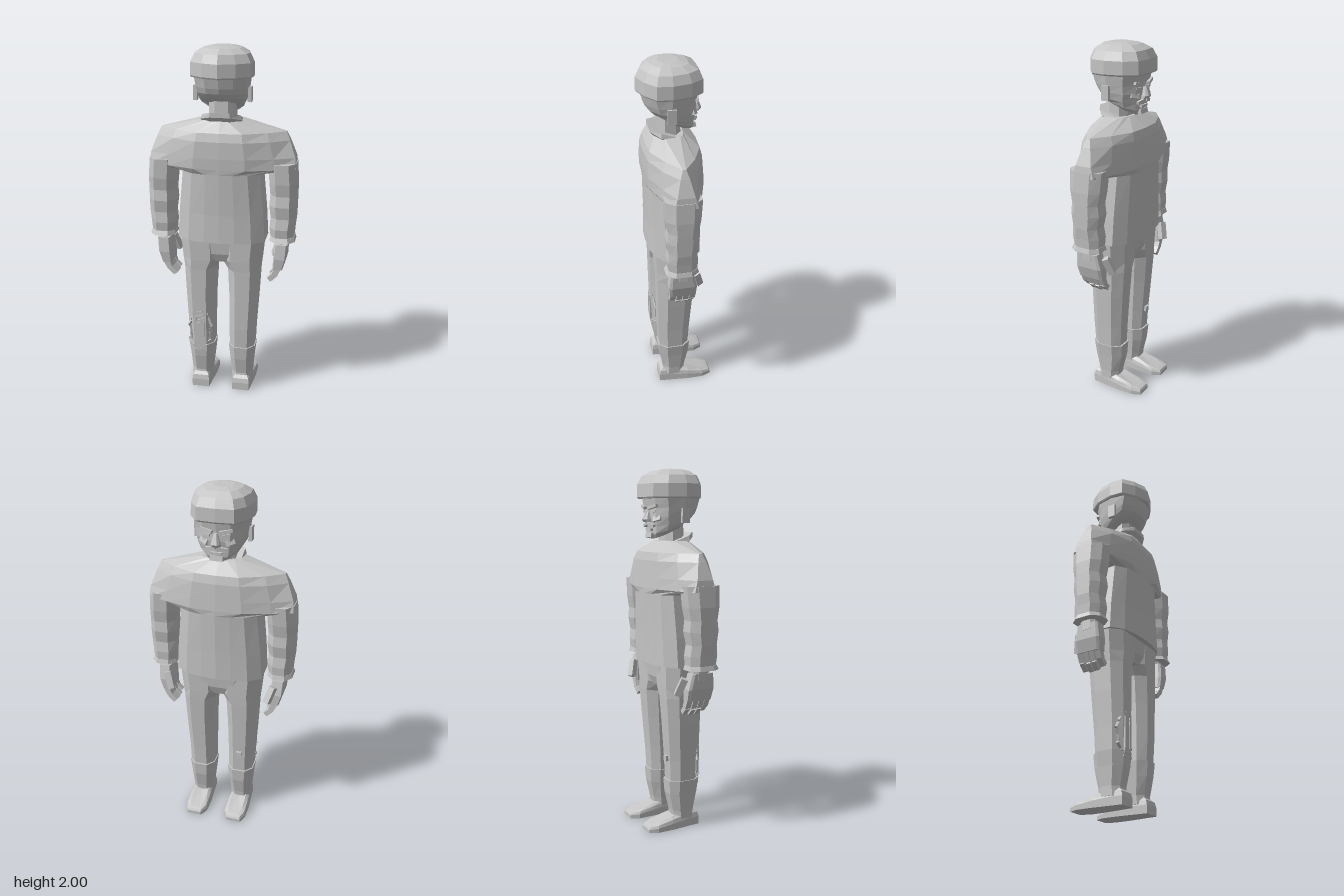
import * as THREE from 'three';

const grey = new THREE.MeshStandardMaterial({ color: 0xc6c6c6 });
grey.name = 'plain grey';

// Faceted skin through rings of [x, y, z] points, closed at both ends
function loft(rings) {
  const pos = [];
  const tri = (a, b, c) => pos.push(...a, ...b, ...c);
  const mid = (r) => [0, 1, 2].map((k) => r.reduce((t, p) => t + p[k], 0) / r.length);
  const n = rings[0].length;
  const low = rings[0], high = rings[rings.length - 1], cl = mid(low), ch = mid(high);
  for (let i = 0; i < n; i++) {
    const j = (i + 1) % n;
    for (let r = 0; r < rings.length - 1; r++) {
      const A = rings[r], B = rings[r + 1];
      tri(A[i], B[i], A[j]);
      tri(A[j], B[i], B[j]);
    }
    tri(cl, low[i], low[j]);
    tri(ch, high[j], high[i]);
  }
  const g = new THREE.BufferGeometry();
  g.setAttribute('position', new THREE.Float32BufferAttribute(pos, 3));
  g.computeVertexNormals();
  return g;
}

// Horizontal ring with chamfered corners between x0..x1 and z0..z1
function octagon(y, x0, x1, z0, z1, c = 0.5, tilt = 0) {
  const cx = (x0 + x1) / 2, cz = (z0 + z1) / 2, w = (x1 - x0) / 2, d = (z1 - z0) / 2;
  return [[1, -c], [1, c], [c, 1], [-c, 1], [-1, c], [-1, -c], [-c, -1], [c, -1]]
    .map(([u, v]) => [cx + u * w, y + tilt * v * d, cz + v * d]);
}

// Symmetric ring from half an outline running front to back
function symmetric(y, half) {
  const right = half.map(([x, z]) => [x, y, z]);
  const left = half.filter(([x]) => x > 0).map(([x, z]) => [-x, y, z]).reverse();
  return [...right, ...left];
}

function box(x, y, z, w, h, d, rx = 0, ry = 0, rz = 0) {
  const g = new THREE.BoxGeometry(w, h, d).toNonIndexed();
  return g.rotateX(rx).rotateY(ry).rotateZ(rz).translate(x, y, z);
}

// Mirror across x and restore the corner order
function mirror(g) {
  const m = g.clone().scale(-1, 1, 1), p = m.attributes.position;
  for (let i = 0; i < p.count; i += 3) {
    const a = [p.getX(i + 1), p.getY(i + 1), p.getZ(i + 1)];
    p.setXYZ(i + 1, p.getX(i + 2), p.getY(i + 2), p.getZ(i + 2));
    p.setXYZ(i + 2, ...a);
  }
  m.computeVertexNormals();
  return m;
}

export function createModel() {
  const model = new THREE.Group();
  model.name = 'standingMan';
  const add = (name, g) => {
    const mesh = new THREE.Mesh(g, grey);
    mesh.name = name;
    model.add(mesh);
  };
  const pair = (name, g) => {
    add(name + 'Left', g);
    add(name + 'Right', mirror(g));
  };

  // Sweater body: flat sides below the armpits, pointed lens across the shoulders
  const torso = (y, w, zf, zb, side, q, m = 0.012) => symmetric(y, [
    [0, zf], [0.35 * w, m + (zf - m) * 0.95], [0.72 * w, m + (zf - m) * q],
    [w, m + (zf - m) * side], [w, m + (zb - m) * side],
    [0.72 * w, m + (zb - m) * q], [0.35 * w, m + (zb - m) * 0.97], [0, zb]]);
  add('sweater', loft([
    torso(0.94, 0.245, -0.138, 0.16, 0.5, 0.85),
    torso(1.1, 0.235, -0.14, 0.157, 0.52, 0.85),
    torso(1.33, 0.212, -0.147, 0.162, 0.55, 0.85),
    torso(1.36, 0.405, -0.147, 0.164, 0.4, 0.66),
    torso(1.42, 0.398, -0.143, 0.166, 0.3, 0.64),
    torso(1.51, 0.365, -0.137, 0.163, 0.16, 0.62),
    torso(1.555, 0.345, -0.125, 0.15, 0.06, 0.55),
    torso(1.615, 0.11, -0.05, 0.11, 0.5, 0.8),
  ]));

  // Sleeves with soft folds, and cuffs
  pair('sleeve', loft([
    octagon(0.95, 0.275, 0.4, -0.055, 0.095), octagon(1.02, 0.268, 0.405, -0.06, 0.105),
    octagon(1.08, 0.272, 0.412, -0.052, 0.097), octagon(1.15, 0.264, 0.413, -0.065, 0.108),
    octagon(1.21, 0.268, 0.414, -0.06, 0.1), octagon(1.28, 0.262, 0.414, -0.072, 0.112),
    octagon(1.39, 0.255, 0.405, -0.08, 0.115),
  ]));
  pair('cuff', loft([octagon(0.945, 0.268, 0.41, -0.065, 0.112), octagon(0.97, 0.275, 0.403, -0.058, 0.1)]));

  // Hands
  pair('wrist', loft([octagon(0.89, 0.3, 0.37, -0.03, 0.065), octagon(0.95, 0.3, 0.37, -0.03, 0.065)]));
  pair('palm', loft([
    octagon(0.775, 0.29, 0.345, -0.058, 0.085, 0.8), octagon(0.84, 0.293, 0.365, -0.06, 0.092, 0.8),
    octagon(0.925, 0.3, 0.37, -0.04, 0.085, 0.8)]));
  for (let i = 0; i < 4; i++) {
    const z = -0.042 + i * 0.036, drop = [0, 0.008, 0.006, -0.008][i];
    pair('fingerBase' + i, box(0.315, 0.765 - drop / 2, z, 0.032, 0.06, 0.032, 0, 0, -0.45));
    pair('fingertip' + i, box(0.288, 0.72 - drop, z, 0.028, 0.05, 0.028, 0, 0, -0.8));
  }
  pair('thumb', box(0.298, 0.85, -0.075, 0.036, 0.1, 0.036, 0.3, 0.4, -0.2));

  // Trousers
  add('trouserSeat', loft([
    octagon(0.81, -0.05, 0.05, -0.075, 0.1), octagon(0.86, -0.16, 0.16, -0.095, 0.12),
    octagon(0.96, -0.235, 0.235, -0.105, 0.13)]));
  pair('trouserLeg', loft([
    octagon(0.27, 0.047, 0.19, -0.058, 0.11), octagon(0.4, 0.047, 0.195, -0.065, 0.117),
    octagon(0.6, 0.044, 0.207, -0.08, 0.12), octagon(0.76, 0.036, 0.215, -0.092, 0.122),
    octagon(0.82, 0.0, 0.222, -0.095, 0.125), octagon(0.95, 0.0, 0.235, -0.1, 0.128)]));

  // Boots: shaft, then a foot sloping down to the toe
  pair('bootShaft', loft([
    octagon(0.05, 0.062, 0.178, -0.035, 0.095), octagon(0.1, 0.06, 0.178, -0.04, 0.09),
    octagon(0.2, 0.05, 0.186, -0.062, 0.11), octagon(0.28, 0.042, 0.196, -0.068, 0.118)]));
  const sole = [[0.165, -0.2], [0.185, -0.15], [0.185, -0.06], [0.175, 0.05], [0.17, 0.115],
    [0.07, 0.115], [0.065, 0.05], [0.055, -0.06], [0.055, -0.15], [0.08, -0.2]];
  const footRing = (s, top) => sole.map(([x, z]) => [
    0.12 + (x - 0.12) * s, top ? (z < 0 ? 0.085 + z * 0.24 : 0.09) * top : 0, -0.04 + (z + 0.04) * (s + 1) / 2]);
  pair('foot', loft([footRing(1, 0), footRing(1, 0.5), footRing(0.92, 0.8), footRing(0.65, 1)]));

  // Torn calf with an exposed mechanism, and a peg on the shin
  for (let i = 0; i < 18; i++) {
    const a = (i / 18) * Math.PI * 2, c = Math.cos(a), s = Math.sin(a);
    const x = -0.122 + 0.057 * c, y = 0.375 + 0.125 * s;
    add('tornCloth', box(x, y, 0.111 - 0.02 * c * c, 0.012, 0.04 + 0.012 * (i % 3), 0.014,
      0, c * 0.5, a + 0.25 * (i % 2 ? 1 : -1)));
  }
  add('shinPlate', box(-0.122, 0.345, 0.113, 0.06, 0.16, 0.016));
  for (const x of [-0.145, -0.1]) add('shinRod', box(x, 0.375, 0.117, 0.014, 0.17, 0.014));
  for (let i = 0; i < 3; i++) add('shinBracket', box(-0.122, 0.44 + i * 0.025, 0.115, 0.06 - i * 0.012, 0.012, 0.014, 0, 0, 0.3));
  add('shinPeg', box(-0.122, 0.407, -0.068, 0.03, 0.03, 0.024));

  // Neck and slanted collar
  add('neck', loft([octagon(1.57, -0.075, 0.075, -0.035, 0.085), octagon(1.75, -0.07, 0.07, -0.03, 0.08)]));
  add('collar', loft([
    octagon(1.585, -0.1, 0.1, -0.06, 0.11, 0.5, 0.3), octagon(1.6, -0.112, 0.112, -0.065, 0.13, 0.5, 0.36),
    octagon(1.625, -0.105, 0.105, -0.07, 0.13, 0.5, 0.36)]));

  // Head: the jaw line climbs towards the back
  const headRing = (y, w, zf, zb, slope = 0) => symmetric(y, [
    [0, zf], [0.5 * w, zf + 0.012], [0.88 * w, zf + 0.06], [w, 0.03],
    [0.9 * w, zb - 0.06], [0.5 * w, zb - 0.012], [0, zb]])
    .map(([x, h, z]) => [x, h + slope * (z - zf), z]);
  add('head', loft([
    headRing(1.625, 0.085, -0.1, 0.06, 0.45), headRing(1.65, 0.115, -0.11, 0.095, 0.35),
    headRing(1.69, 0.13, -0.11, 0.12, 0.2), headRing(1.74, 0.14, -0.118, 0.145, 0.08),
    headRing(1.79, 0.147, -0.118, 0.158), headRing(1.85, 0.155, -0.128, 0.175)]));
  pair('ear', box(0.147, 1.75, 0.033, 0.02, 0.08, 0.044));

  // Face
  add('nose', loft([
    octagon(1.715, -0.026, 0.026, -0.138, -0.09), octagon(1.73, -0.024, 0.024, -0.15, -0.09),
    octagon(1.785, -0.01, 0.01, -0.128, -0.09)]));
  pair('brow', box(0.052, 1.797, -0.113, 0.07, 0.016, 0.026, 0, -0.25, 0.2));
  pair('eye', box(0.052, 1.772, -0.108, 0.04, 0.014, 0.016, 0, -0.25, 0.1));
  pair('cheek', box(0.068, 1.735, -0.096, 0.05, 0.03, 0.02, 0.2, -0.5, 0.3));
  pair('moustache', box(0.03, 1.702, -0.113, 0.058, 0.016, 0.02, 0, -0.2, -0.2));
  add('lowerLip', box(0, 1.675, -0.11, 0.06, 0.012, 0.016));
  add('chin', box(0, 1.645, -0.106, 0.07, 0.026, 0.022, 0.2));

  // Knitted cap
  const brim = [[0, -0.145], [0.1, -0.137], [0.148, -0.07], [0.17, 0.03], [0.16, 0.11], [0.09, 0.162], [0, 0.195]];
  const capRing = (y, s) => symmetric(y, brim.map(([x, z]) => [x * s, 0.03 + (z - 0.03) * s]));
  add('cap', loft([
    capRing(1.842, 0.97), capRing(1.85, 1), capRing(1.92, 0.99), capRing(1.965, 0.86),
    capRing(1.99, 0.6), capRing(2, 0.32)]));
  return model;
}
